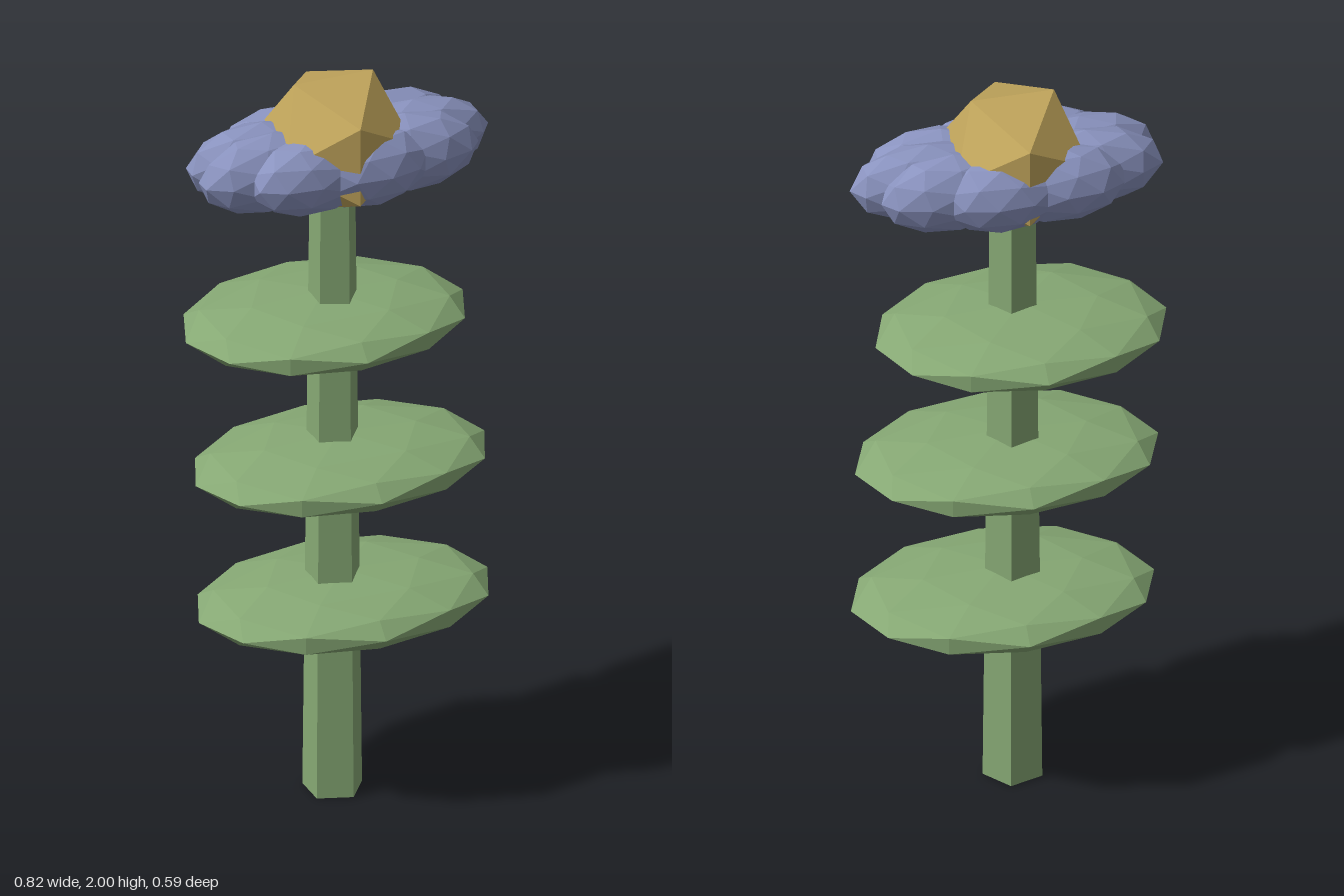
import * as THREE from 'three';

const material = (color) => new THREE.MeshStandardMaterial({ color, flatShading: true });

function add(parent, name, geometry, mat, x, y, z) {
  const mesh = new THREE.Mesh(geometry, mat);
  mesh.name = name;
  mesh.position.set(x, y, z);
  parent.add(mesh);
  return mesh;
}

export function createModel() {
  const model = new THREE.Group();
  model.name = 'flower';
  const green = material(0x86a874);
  const lilac = material(0x8a93bf);
  const gold = material(0xc2a65c);

  // Five-sided tapering stem
  const stemHeight = 1.76;
  const stemGeometry = new THREE.CylinderGeometry(0.06, 0.079, stemHeight, 5, 1, false, Math.PI / 10);
  add(model, 'stem', stemGeometry, green, -0.015, stemHeight / 2, 0.006);

  // Three flattened faceted leaf tiers: centre, then half-sizes
  const tiers = [
    [0.012, 0.535, 0.007, 0.393, 0.277],
    [-0.002, 0.93, 0.02, 0.393, 0.272],
    [-0.03, 1.32, -0.015, 0.377, 0.281],
  ];
  for (const [x, y, z, rx, rz] of tiers) {
    const leaf = new THREE.IcosahedronGeometry(1, 1).scale(rx, 0.075, rz);
    add(model, 'leafTier', leaf, green, x, y, z);
  }

  // Ring of overlapping petals, squashed into a long oval
  const petalCount = 9;
  const petals = new THREE.Group();
  petals.name = 'petals';
  petals.position.set(0, 1.785, 0);
  for (let i = 0; i < petalCount; i++) {
    const petal = new THREE.IcosahedronGeometry(1, 1)
      .scale(0.5, 1, 0.42)
      .translate(0.5, 0, 0)
      .rotateY((i / petalCount) * Math.PI * 2)
      .scale(0.41, 0.107, 0.193);
    petal.computeVertexNormals();
    add(petals, 'petal', petal, lilac, 0, 0, 0);
  }
  model.add(petals);

  // Faceted flower centre
  add(model, 'flowerCentre', new THREE.IcosahedronGeometry(0.205, 0), gold, -0.013, 1.826, 0.004);

  return model;
}
